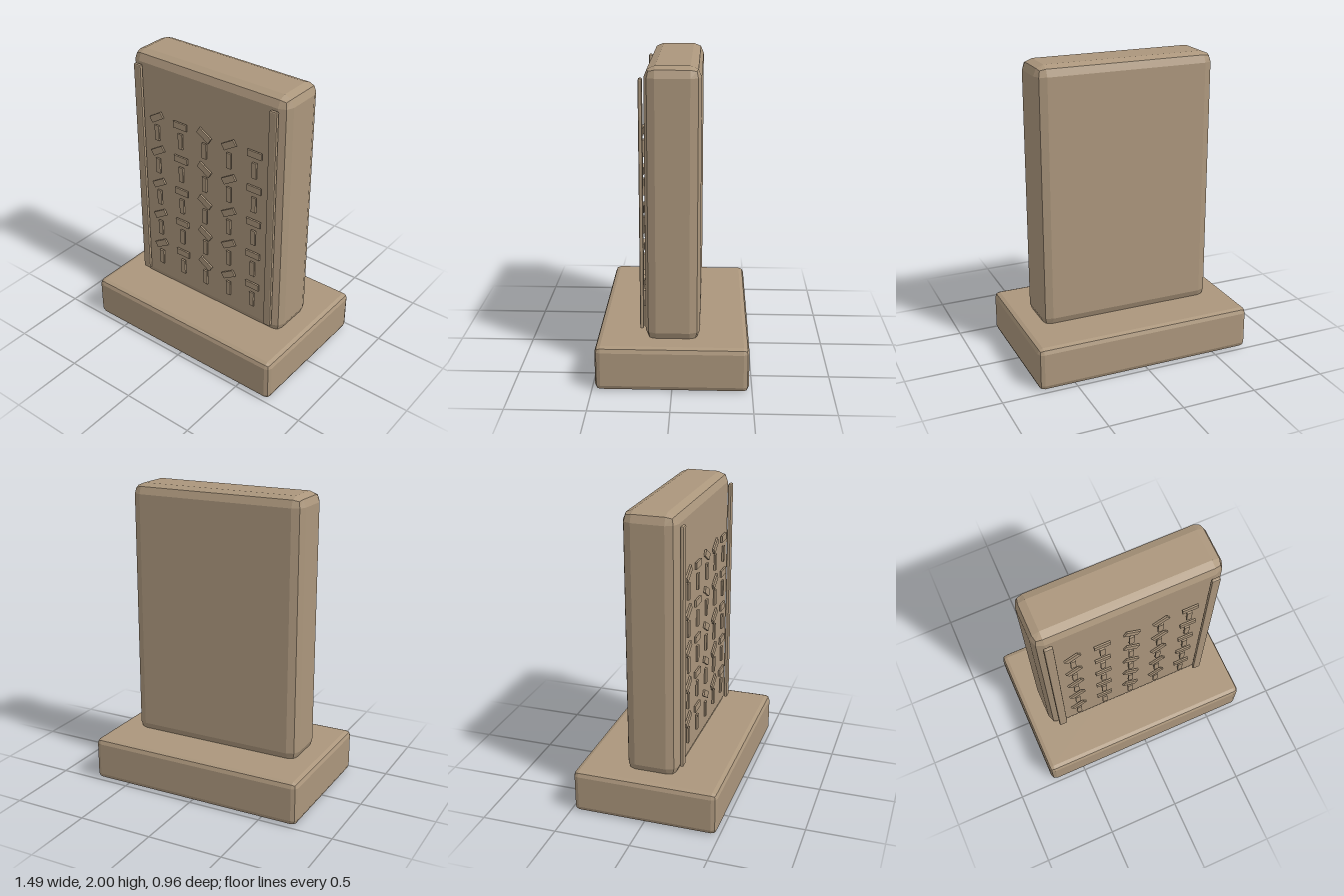
import * as THREE from 'three';
import { RoundedBoxGeometry } from 'three/addons/geometries/RoundedBoxGeometry.js';

const stone = new THREE.MeshStandardMaterial({ color: 0xab967c, flatShading: true });
stone.name = 'sandstone';

function part(name, geometry, x, y, z, parent) {
  const mesh = new THREE.Mesh(geometry, stone);
  mesh.name = name;
  mesh.position.set(x, y, z);
  parent.add(mesh);
  return mesh;
}

export function createModel() {
  const model = new THREE.Group();
  model.name = 'carvedStele';

  // Plinth and upright slab, each edge cut in two facets
  part('plinth', new RoundedBoxGeometry(1.49, 0.29, 0.96, 1, 0.035), 0, 0.145, 0, model);
  part('slab', new RoundedBoxGeometry(1.206, 1.735, 0.344, 1, 0.067), 0, 1.1325, 0, model);

  // Raised side rails
  const railGeometry = new RoundedBoxGeometry(0.058, 1.585, 0.024, 1, 0.009);
  for (const side of [-1, 1]) {
    part(side > 0 ? 'leftRail' : 'rightRail', railGeometry, side * 0.525, 1.132, 0.194, model);
  }

  // Grid of carved marks: an upright stroke under a cross stroke tilted by column
  const marks = new THREE.Group();
  marks.name = 'carvedMarks';
  model.add(marks);
  const upright = new THREE.BoxGeometry(0.034, 0.108, 0.012);
  const cross = new THREE.BoxGeometry(0.107, 0.045, 0.012);
  const tilts = [0.55, 0, -0.55, 0.55, 0];
  for (let row = 0; row < 5; row++) {
    tilts.forEach((tilt, column) => {
      const x = (column - 2) * 0.195;
      const y = 0.487 + row * 0.2465;
      part('uprightStroke', upright, x, y, 0.188, marks);
      part('crossStroke', cross, x, y + 0.112, 0.188, marks).rotation.z = tilt;
    });
  }
  return model;
}
